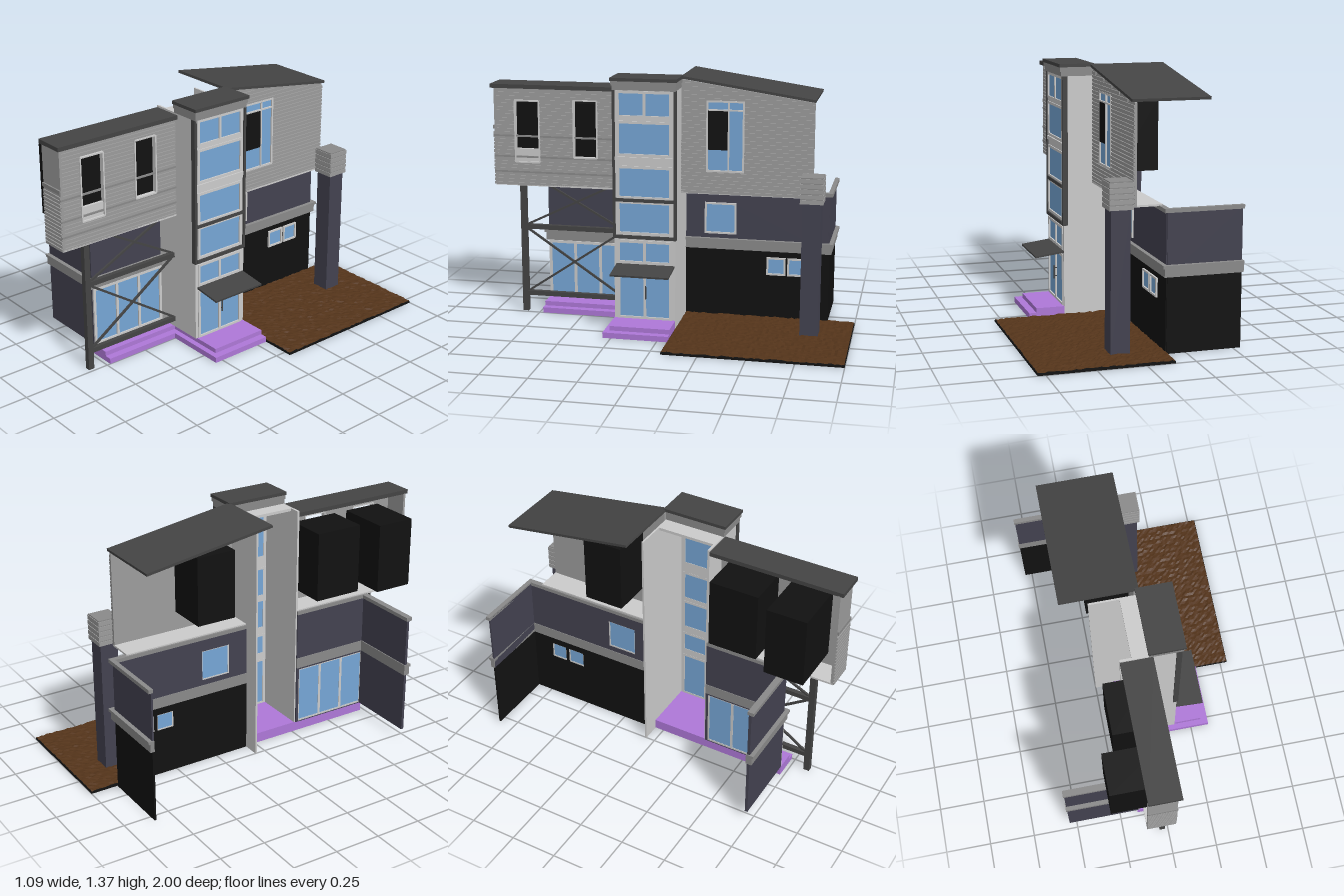
import * as THREE from 'three';

export function createModel() {
  const root = new THREE.Group();
  const mat = (color, extra = {}) => new THREE.MeshStandardMaterial({ color, ...extra });
  const grey = mat(0xcccccc), sidingMat = mat(0x9c9c9c), trim = mat(0x8a8a8a), dark = mat(0x444444);
  const slate = mat(0x434250), black = mat(0x111111), glass = mat(0x76a6d6), purple = mat(0xae78d8);

  const add = (name, geo, m, parent = root) => {
    const mesh = new THREE.Mesh(geo, m);
    mesh.name = name;
    parent.add(mesh);
    return mesh;
  };
  const group = (name) => {
    const g = new THREE.Group();
    g.name = name;
    root.add(g);
    return g;
  };
  // box given by its limits on each axis
  const box = (name, m, x0, x1, y0, y1, z0, z1, parent = root) => {
    const b = add(name, new THREE.BoxGeometry(x1 - x0, y1 - y0, z1 - z0), m, parent);
    b.position.set((x0 + x1) / 2, (y0 + y1) / 2, (z0 + z1) / 2);
    return b;
  };
  // bar between two [y, z] points on a plane of constant x
  const bar = (name, m, x, a, b, w, parent = root) => {
    const dy = b[0] - a[0], dz = b[1] - a[1];
    const mesh = add(name, new THREE.BoxGeometry(w, w, Math.hypot(dy, dz)), m, parent);
    mesh.position.set(x, (a[0] + b[0]) / 2, (a[1] + b[1]) / 2);
    mesh.rotation.x = -Math.atan2(dy, dz);
    return mesh;
  };
  // wall facing +x: outline of [z, y] points, rectangular holes [z0, z1, y0, y1]
  const wall = (name, m, x, t, outline, holes = []) => {
    const pts = (list) => list.map(([z, y]) => new THREE.Vector2(-z, y));
    const shape = new THREE.Shape(pts(outline));
    for (const [z0, z1, y0, y1] of holes)
      shape.holes.push(new THREE.Path(pts([[z0, y0], [z1, y0], [z1, y1], [z0, y1]])));
    const geo = new THREE.ExtrudeGeometry(shape, { depth: t, bevelEnabled: false });
    geo.rotateY(Math.PI / 2);
    geo.translate(x - t, 0, 0);
    return add(name, geo, m);
  };
  const rect = (z0, z1, y0, y1) => [[z0, y0], [z1, y0], [z1, y1], [z0, y1]];
  // lapped boards on a wall facing +x, cut around holes
  const siding = (name, x, z0, z1, y0, topAt, holes) => {
    const g = group(name), h = 0.02;
    for (let y = y0; y + h <= topAt(z1); y += h) {
      let start = z0;
      while (start < z1 - 0.03 && topAt(start) < y + h) start += 0.02;
      const cuts = holes.filter((c) => c[2] < y + h && c[3] > y).sort((a, b) => a[0] - b[0]);
      for (const c of [...cuts, [z1, z1]]) {
        if (c[0] - start > 0.005) box('board', sidingMat, x, x + 0.006, y, y + h * 0.72, start, c[0], g);
        start = Math.max(start, c[1]);
      }
    }
  };
  // framed window facing +x
  const windowX = (name, x, z0, z1, y0, y1, panes = 1, f = 0.01) => {
    const g = group(name);
    box('glass', glass, x - 0.006, x + 0.002, y0, y1, z0, z1, g);
    for (const y of [y0, y1]) box('rail', grey, x - 0.008, x + 0.01, y - f / 2, y + f / 2, z0 - f / 2, z1 + f / 2, g);
    for (let i = 0; i <= panes; i++) {
      const z = z0 + (z1 - z0) * i / panes;
      box('stile', grey, x - 0.008, x + 0.01, y0, y1, z - f / 2, z + f / 2, g);
    }
  };

  // rough soil plot
  box('plotBase', black, -0.145, 0.54, 0, 0.01, -1, -0.06);
  const soil = new THREE.PlaneGeometry(0.68, 0.935, 44, 60).rotateX(-Math.PI / 2);
  let seed = 7;
  for (let i = 0; i < soil.attributes.position.count; i++) {
    seed = (seed * 16807) % 2147483647;
    soil.attributes.position.setY(i, 0.007 * seed / 2147483647);
  }
  soil.computeVertexNormals();
  add('soil', soil, mat(0x54341a, { flatShading: true })).position.set(0.1975, 0.0105, -0.53);

  // steps and terrace
  box('lowerStep', purple, -0.15, 0.35, 0, 0.03, -0.06, 0.295);
  box('upperStep', purple, -0.15, 0.31, 0.03, 0.055, -0.06, 0.265);
  box('terraceLower', purple, -0.15, 0, 0, 0.03, 0.295, 0.73);
  box('terraceUpper', purple, -0.15, -0.04, 0.03, 0.055, 0.265, 0.73);

  // ground storey walls
  box('frontWall', slate, -0.54, -0.15, 0.055, 0.72, 0.715, 0.73);
  box('rearWallBase', black, -0.54, -0.15, 0, 0.39, -0.85, -0.84);
  box('rearWallUpper', slate, -0.54, -0.15, 0.39, 0.72, -0.85, -0.84);
  wall('sideWallBase', black, -0.145, 0.012, rect(-0.845, -0.06, 0, 0.4),
    [[-0.61, -0.515, 0.26, 0.35], [-0.72, -0.63, 0.26, 0.35]]);
  wall('sideWallUpper', slate, -0.145, 0.012, rect(-0.845, -0.06, 0.4, 0.72), [[-0.335, -0.17, 0.48, 0.645]]);
  wall('terraceWall', slate, -0.145, 0.012, rect(0.27, 0.73, 0.055, 0.72), [[0.285, 0.72, 0.06, 0.38]]);
  for (const [y0, y1, o] of [[0.39, 0.435, 0.013], [0.435, 0.45, 0.022], [0.71, 0.73, 0.014]]) {
    const g = group('wallTrim');
    box('front', trim, -0.545, -0.145 + o, y0, y1, 0.71, 0.73 + o, g);
    box('rear', trim, -0.545, -0.145 + o, y0, y1, -0.85 - o, -0.84, g);
    box('sideRear', trim, -0.16, -0.145 + o, y0, y1, -0.85, -0.06, g);
    box('sideFront', trim, -0.16, -0.145 + o, y0, y1, 0.27, 0.73, g);
  }
  windowX('smallWindow', -0.145, -0.61, -0.515, 0.26, 0.35);
  windowX('smallWindow', -0.145, -0.72, -0.63, 0.26, 0.35);
  windowX('squareWindow', -0.145, -0.335, -0.17, 0.48, 0.645);
  windowX('terraceDoors', -0.145, 0.285, 0.72, 0.06, 0.38, 3, 0.015);

  // stair tower
  box('towerFrontWall', grey, -0.15, 0.155, 0.055, 1.3, 0.262, 0.274);
  box('towerRearWall', grey, -0.25, 0.155, 0, 1.3, -0.06, -0.05);
  box('towerCeiling', grey, -0.09, 0.15, 1.285, 1.3, -0.05, 0.262);
  const panes = [[0.06, 0.33, 2], [0.37, 0.485, 2], [0.53, 0.7, 1], [0.725, 0.89, 1], [0.955, 1.13, 1], [1.16, 1.29, 2]];
  wall('towerGlazedWall', grey, 0.155, 0.012, rect(-0.05, 0.265, 0.055, 1.3),
    panes.map(([y0, y1]) => [-0.035, 0.25, y0, y1]));
  for (const [y0, y1, n] of panes) windowX('towerWindow', 0.15, -0.035, 0.25, y0, y1, n, 0.014);
  for (const y of [0.51, 0.712]) box('towerBar', dark, 0.145, 0.165, y - 0.009, y + 0.009, -0.05, 0.265);
  box('towerSill', grey, 0.145, 0.163, 0.925, 0.945, -0.05, 0.265);
  for (const z of [-0.058, 0.272]) box('cornerStrip', dark, 0.134, 0.163, 0.5, 1.3, z - 0.007, z + 0.007);
  box('towerCornice', trim, -0.005, 0.168, 1.3, 1.325, -0.062, 0.278);
  box('towerCorniceUpper', trim, -0.005, 0.175, 1.325, 1.35, -0.066, 0.282);
  box('towerRoof', dark, -0.01, 0.18, 1.348, 1.365, -0.07, 0.287);
  const canopy = box('canopy', dark, 0.153, 0.312, 0.34, 0.35, -0.055, 0.262);
  canopy.rotation.z = -0.13;
  const handle = group('doorHandle');
  box('grip', dark, 0.165, 0.171, 0.17, 0.245, 0.097, 0.103, handle);
  for (const y of [0.185, 0.23]) box('mount', dark, 0.15, 0.168, y, y + 0.005, 0.098, 0.102, handle);

  // front upper wing
  const frontHoles = [[0.73, 0.866, 0.86, 1.2], [0.405, 0.535, 0.895, 1.21]];
  wall('wingSideWall', sidingMat, -0.006, 0.012, rect(0.274, 0.985, 0.73, 1.27), frontHoles);
  siding('wingSiding', -0.006, 0.274, 0.985, 0.73, () => 1.27, frontHoles);
  box('wingEndWall', sidingMat, -0.15, 0, 0.73, 1.27, 0.972, 0.985);
  for (let y = 0.73; y < 1.03; y += 0.02) box('endBoard', sidingMat, -0.15, 0, y, y + 0.0145, 0.985, 0.991);
  for (const y of [0.8, 0.885, 1.0]) box('wingBand', trim, -0.004, 0.003, y, y + 0.01, 0.274, 0.99);
  box('endBand', trim, -0.15, 0.002, 1.04, 1.06, 0.985, 0.993);
  box('wingFloor', grey, -0.15, 0, 0.727, 0.737, 0.274, 0.985);
  box('wingRoof', dark, -0.15, 0.018, 1.268, 1.29, 0.274, 1);
  box('windowRecess', black, -0.32, -0.02, 0.81, 1.19, 0.68, 0.895);
  box('windowRecess', black, -0.25, -0.02, 0.81, 1.19, 0.33, 0.6);
  box('windowPanel', grey, -0.02, -0.004, 0.86, 0.935, 0.73, 0.866);
  for (const [z0, z1, y0, y1] of frontHoles) {
    const g = group('windowFrame');
    for (const z of [z0, z1]) box('jamb', grey, -0.02, 0.006, y0, y1, z - 0.004, z + 0.004, g);
    for (const y of [y0, y1]) box('head', grey, -0.02, 0.006, y - 0.004, y + 0.004, z0, z1, g);
  }

  // rear upper wing with sloping roof
  const roofY = (z) => 1.355 + (z + 0.06) * 0.15;
  const rearHole = [-0.395, -0.2, 0.855, 1.23];
  wall('rearUpperWall', sidingMat, -0.006, 0.012,
    [[-0.77, 0.73], [-0.06, 0.73], [-0.06, roofY(-0.06) - 0.012], [-0.77, roofY(-0.77) - 0.012]], [rearHole]);
  siding('rearSiding', -0.006, -0.77, -0.06, 0.73, (z) => roofY(z) - 0.012, [rearHole]);
  box('rearFloor', grey, -0.15, 0, 0.727, 0.737, -0.77, -0.06);
  windowX('rearWindow', -0.008, -0.395, -0.2, 0.855, 1.23, 1);
  box('openPane', black, -0.02, 0.001, 0.97, 1.18, -0.31, -0.203);
  box('mullion', grey, -0.015, 0.003, 0.86, 1.23, -0.319, -0.311);
  box('transom', grey, -0.015, 0.003, 1.18, 1.188, -0.395, -0.2);
  box('rearRecess', black, -0.25, -0.02, 0.84, 1.21, -0.41, -0.19);
  const roof = add('rearRoof', new THREE.BoxGeometry(0.405, 0.014, 0.722), dark);
  roof.position.set(-0.1925, roofY(-0.4175), -0.4175);
  roof.rotation.x = -Math.atan(0.15);

  // free standing column
  box('column', slate, 0.03, 0.13, 0.01, 0.74, -0.825, -0.727);
  for (let i = 0; i < 5; i++) {
    box('columnCap', trim, 0.022, 0.138, 0.73 + i * 0.028, 0.758 + i * 0.028, -0.833, -0.719);
    box('capBoard', sidingMat, 0.018, 0.142, 0.73 + i * 0.028, 0.752 + i * 0.028, -0.837, -0.715);
  }

  // braced frame under the front wing
  const frame = group('bracedFrame');
  box('post', dark, -0.047, -0.018, 0, 0.73, 0.82, 0.853, frame);
  for (const y of [0.105, 0.49]) box('beam', dark, -0.045, -0.02, y - 0.013, y + 0.013, 0.274, 0.82, frame);
  for (const [a, b] of [[[0.115, 0.82], [0.48, 0.28]], [[0.48, 0.82], [0.115, 0.28]],
    [[0.5, 0.82], [0.73, 0.35]], [[0.5, 0.28], [0.73, 0.69]]])
    bar('brace', dark, -0.032, a, b, 0.011, frame);

  return root;
}
